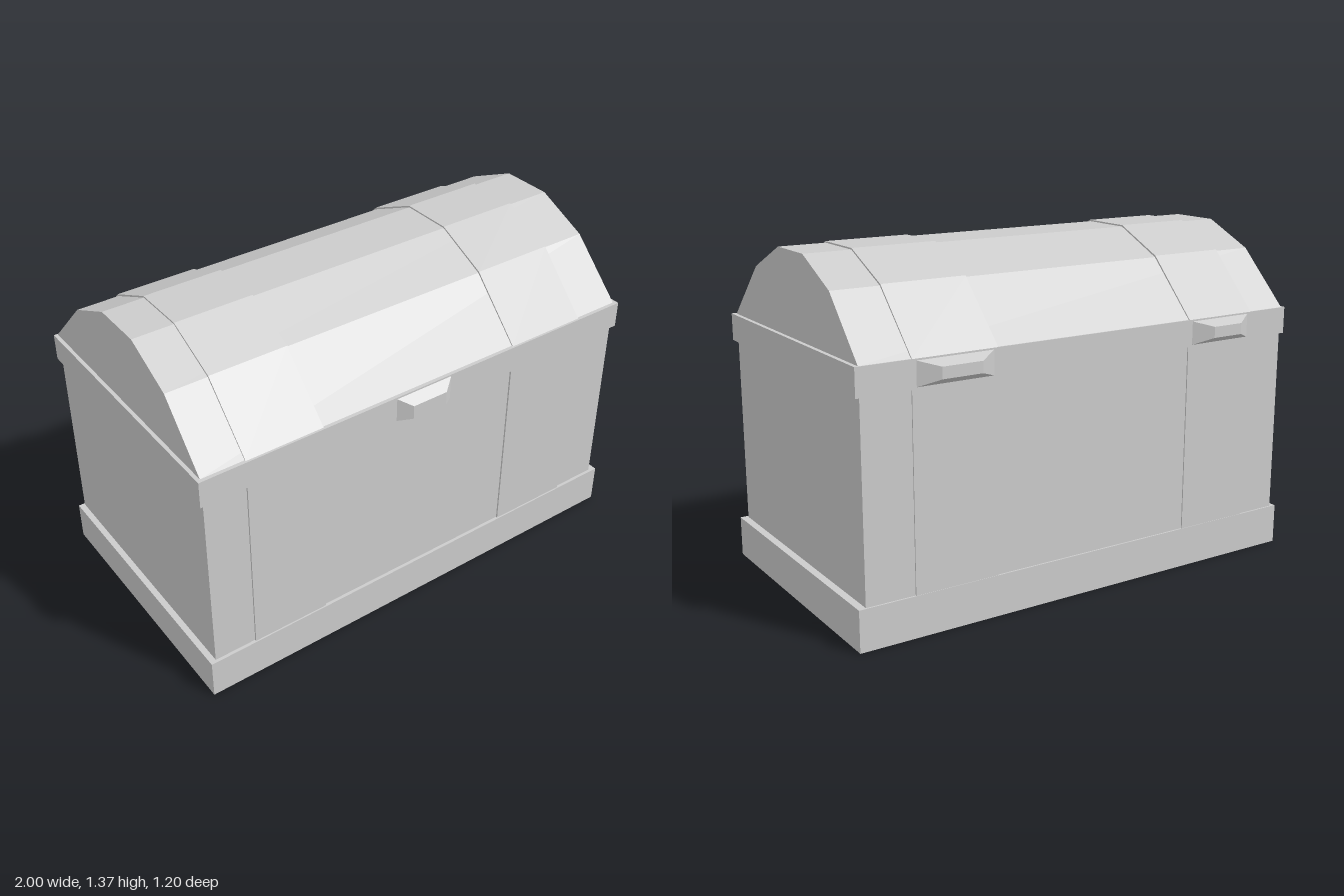
import * as THREE from 'three';

const material = new THREE.MeshStandardMaterial({ color: 0xcccccc, flatShading: true });

// Half outline of the arched lid, as [z, y]
const ARCH = [[0.55, 1.04], [0.33, 1.262], [0.11, 1.363], [-0.11, 1.363], [-0.33, 1.262], [-0.55, 1.04]];
const STRAPS = [[-0.8, -0.475], [0.42, 0.77]];

export function createModel() {
  const chest = new THREE.Group();
  chest.name = 'chest';

  const add = (name, geometry) => {
    const mesh = new THREE.Mesh(geometry, material);
    mesh.name = name;
    chest.add(mesh);
    return mesh;
  };

  // Box given by its limits on each axis
  const block = (name, [x0, x1], [y0, y1], [z0, z1]) => {
    const geometry = new THREE.BoxGeometry(x1 - x0, y1 - y0, z1 - z0);
    geometry.translate((x0 + x1) / 2, (y0 + y1) / 2, (z0 + z1) / 2);
    return add(name, geometry);
  };

  // Arched solid along x; grow lifts the outline outwards, lean narrows the top
  const arch = (name, [x0, x1], grow, lean) => {
    const outline = ARCH.map(([z, y], i) =>
      new THREE.Vector2(-z * (1 + grow / 0.55), y + (i === 0 || i === 5 ? 0 : grow)));
    const geometry = new THREE.ExtrudeGeometry(new THREE.Shape(outline.reverse()), { depth: x1 - x0, bevelEnabled: false });
    geometry.rotateY(Math.PI / 2).translate(x0, 0, 0);
    const p = geometry.attributes.position;
    const mid = (x0 + x1) / 2;
    for (let i = 0; i < p.count; i++) {
      const rise = (p.getY(i) - 1.04) / 0.325;
      p.setX(i, p.getX(i) - Math.sign(p.getX(i) - mid) * lean * rise);
    }
    geometry.computeVertexNormals();
    return add(name, geometry);
  };

  // Raised plate: its outer face is smaller than its root on the rim
  const plate = (name, rootX, tipX, rootY, tipY, rootZ, tipZ) => {
    const geometry = new THREE.BoxGeometry(2, 2, 2);
    const p = geometry.attributes.position;
    const outward = Math.sign(tipZ);
    for (let i = 0; i < p.count; i++) {
      const tip = p.getZ(i) * outward > 0;
      const xs = tip ? tipX : rootX;
      const ys = tip ? tipY : rootY;
      p.setXYZ(i, xs[p.getX(i) > 0 ? 1 : 0], ys[p.getY(i) > 0 ? 1 : 0], tip ? tipZ : rootZ);
    }
    geometry.computeVertexNormals();
    return add(name, geometry);
  };

  // Box of the chest
  block('base', [-1, 1], [0, 0.165], [-0.555, 0.565]);
  block('body', [-0.975, 0.97], [0.16, 0.94], [-0.548, 0.552]);
  block('rim', [-0.992, 0.988], [0.93, 1.04], [-0.555, 0.565]);

  // Lid
  arch('lid', [-0.977, 0.972], 0, 0.009);

  // Straps over the body and lid, with the hinges behind
  for (const [x0, x1] of STRAPS) {
    block('bodyStrap', [x0, x1], [0.16, 0.935], [-0.553, 0.559]);
    arch('lidStrap', [x0, x1], 0.006, 0);
    plate('hinge', [x0, x1], [x0 + 0.09, x1 - 0.095], [0.932, 1.038], [0.965, 1.01], -0.545, -0.6);
  }

  // Clasp on the front
  plate('clasp', [-0.16, 0.11], [-0.1, 0.055], [0.933, 1.038], [0.943, 1.0], 0.56, 0.6);

  return chest;
}
